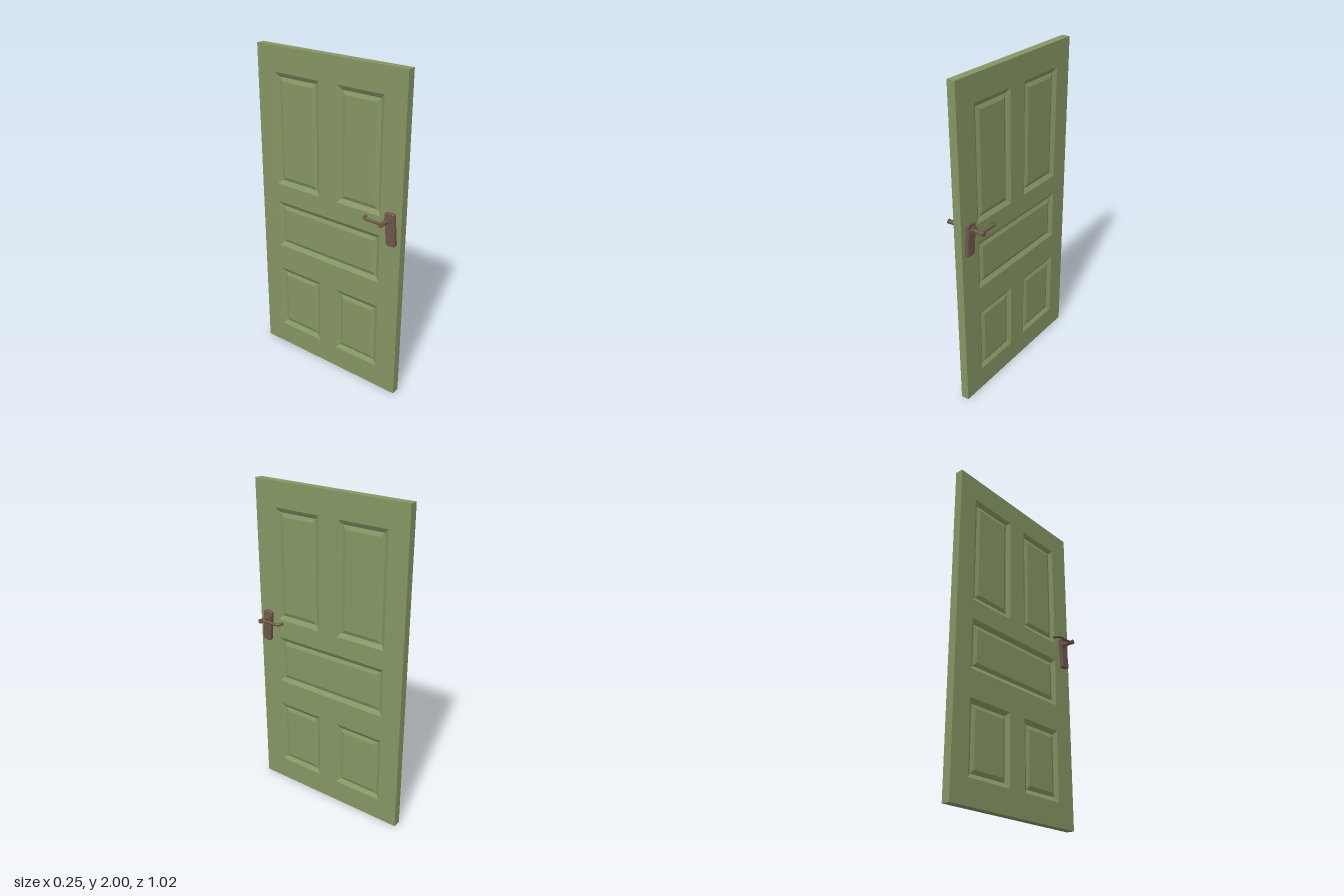
import * as THREE from 'three';

const T = 0.025; // half thickness of the door

// panel openings: [zMin, zMax, yMin, yMax]
const PANELS = [
  [0.065, 0.372, 1.163, 1.85],
  [-0.385, -0.063, 1.163, 1.85],
  [-0.385, 0.372, 0.74, 1.045],
  [0.065, 0.372, 0.145, 0.575],
  [-0.385, -0.063, 0.145, 0.575],
];

// rings of a panel: [inset from the opening, distance from the door's middle]
const RINGS = [[0, T], [0.027, T - 0.016], [0.05, T - 0.007]];

// sunk moulding with a raised field, on side s (+1 or -1) of the door
function panelGeometry([z0, z1, y0, y1], s) {
  const rings = RINGS.map(([i, x]) => {
    const c = [[z1 - i, y0 + i], [z0 + i, y0 + i], [z0 + i, y1 - i], [z1 - i, y1 - i]];
    if (s < 0) c.reverse();
    return c.map(([z, y]) => [s * x, y, z]);
  });
  const pos = [];
  const quad = (a, b, c, d) => [a, b, c, a, c, d].forEach((p) => pos.push(...p));
  for (let r = 0; r < rings.length - 1; r++) {
    for (let k = 0; k < 4; k++) {
      const n = (k + 1) % 4;
      quad(rings[r][k], rings[r][n], rings[r + 1][n], rings[r + 1][k]);
    }
  }
  quad(...rings[rings.length - 1]);
  const g = new THREE.BufferGeometry();
  g.setAttribute('position', new THREE.Float32BufferAttribute(pos, 3));
  g.computeVertexNormals();
  return g;
}

// stiles and rails: a slab with rectangular openings
function frameGeometry() {
  const rect = (path, z0, z1, y0, y1) => {
    path.moveTo(z0, y0);
    path.lineTo(z1, y0);
    path.lineTo(z1, y1);
    path.lineTo(z0, y1);
    path.closePath();
    return path;
  };
  const shape = rect(new THREE.Shape(), -0.51, 0.51, 0, 2);
  PANELS.forEach((p) => shape.holes.push(rect(new THREE.Path(), ...p)));
  const g = new THREE.ExtrudeGeometry(shape, { depth: 2 * T, bevelEnabled: false });
  g.translate(0, 0, -T);
  g.rotateY(-Math.PI / 2);
  return g;
}

// rounded back plate lying in the zy plane, centred on the origin
function plateGeometry(w, h, r, depth) {
  const a = w / 2, b = h / 2, shape = new THREE.Shape();
  shape.moveTo(-a + r, -b);
  shape.lineTo(a - r, -b);
  shape.quadraticCurveTo(a, -b, a, -b + r);
  shape.lineTo(a, b - r);
  shape.quadraticCurveTo(a, b, a - r, b);
  shape.lineTo(-a + r, b);
  shape.quadraticCurveTo(-a, b, -a, b - r);
  shape.lineTo(-a, -b + r);
  shape.quadraticCurveTo(-a, -b, -a + r, -b);
  const bevel = 0.003;
  const g = new THREE.ExtrudeGeometry(shape, {
    depth: depth - 2 * bevel, bevelThickness: bevel, bevelSize: bevel,
    bevelOffset: -bevel, bevelSegments: 1, curveSegments: 5,
  });
  g.translate(0, 0, -depth / 2 + bevel);
  g.rotateY(-Math.PI / 2);
  return g;
}

export function createModel() {
  const model = new THREE.Group();
  model.name = 'door';
  const green = new THREE.MeshStandardMaterial({ color: 0x869664 });
  green.name = 'green paint';
  const bronze = new THREE.MeshStandardMaterial({ color: 0x6c574b });
  bronze.name = 'brown metal';

  const add = (parent, name, geometry, material) => {
    const mesh = new THREE.Mesh(geometry, material);
    mesh.name = name;
    parent.add(mesh);
    return mesh;
  };

  add(model, 'doorFrame', frameGeometry(), green);

  for (const s of [1, -1]) {
    const side = s > 0 ? 'left' : 'right';
    PANELS.forEach((p, i) => add(model, `${side}Panel${i + 1}`, panelGeometry(p, s), green));

    const handle = new THREE.Group();
    handle.name = `${side}Handle`;
    model.add(handle);

    // slightly tilted back plate
    const plate = add(handle, 'backPlate', plateGeometry(0.062, 0.196, 0.014, 0.024), bronze);
    plate.position.set(s * 0.035, 1.11, 0.449);
    plate.rotation.x = -0.09;

    // rosette, spindle and end collar, all along x
    const rod = (name, r, x0, x1, z = 0.437) => {
      const g = new THREE.CylinderGeometry(r, r, x1 - x0, 24);
      g.rotateZ(Math.PI / 2);
      add(handle, name, g, bronze).position.set(s * (x0 + x1) / 2, 1.165, z);
    };
    rod('rosette', 0.022, 0.04, 0.058);
    rod('spindle', 0.0125, 0.05, 0.118);
    rod('endCollar', 0.0145, 0.117, 0.123);

    // lever with its end curving back to the door
    const v = (x, z) => new THREE.Vector3(s * x, 1.165, z);
    const path = new THREE.CurvePath();
    path.add(new THREE.LineCurve3(v(0.104, 0.437), v(0.104, 0.338)));
    path.add(new THREE.CubicBezierCurve3(v(0.104, 0.338), v(0.104, 0.32), v(0.096, 0.306), v(0.078, 0.306)));
    add(handle, 'lever', new THREE.TubeGeometry(path, 32, 0.0085, 14, false), bronze);
    rod('leverTip', 0.0085, 0.068, 0.079, 0.306);
  }
  return model;
}
